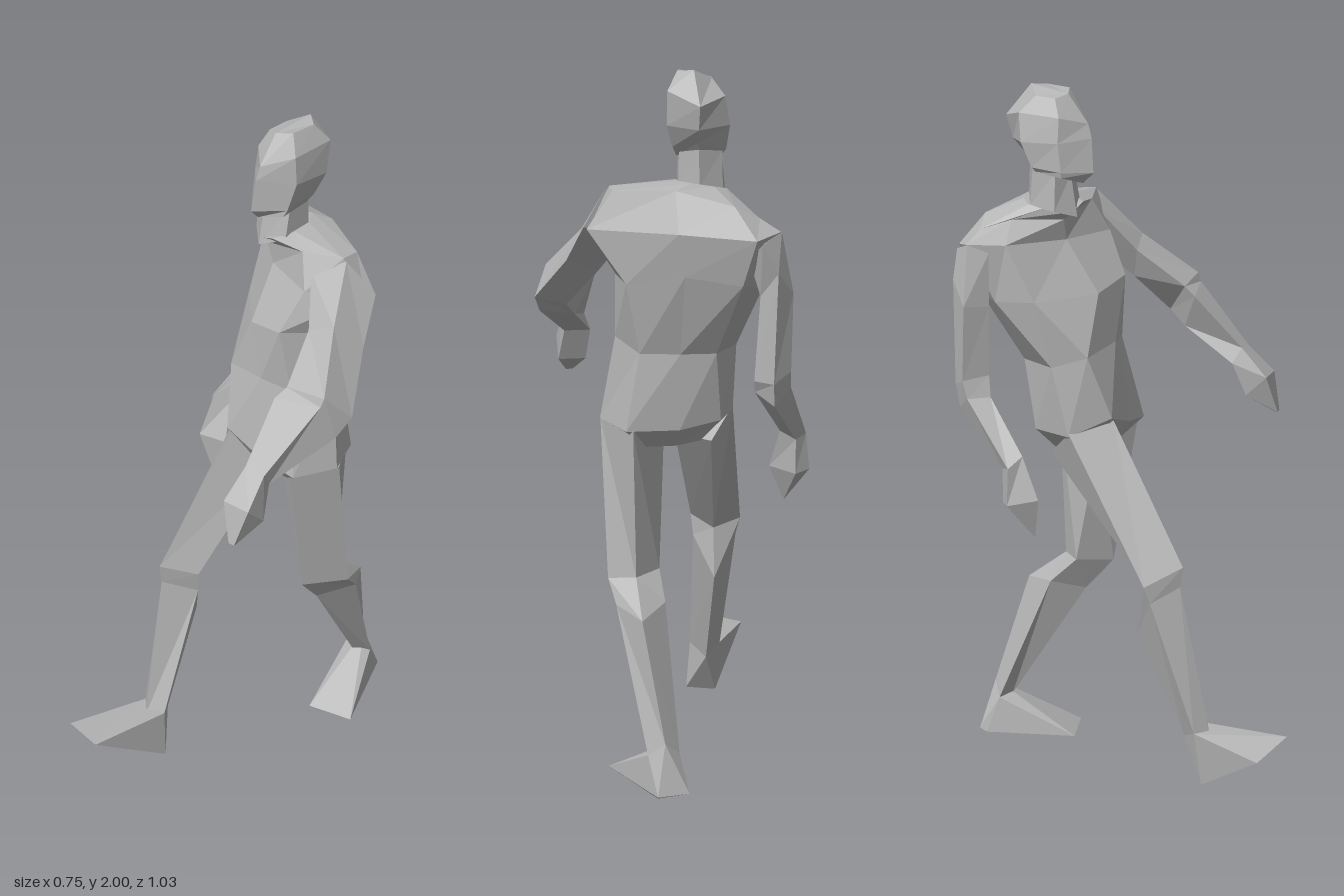
import * as THREE from 'three';
import { ConvexGeometry } from 'three/addons/geometries/ConvexGeometry.js';

// Skin a list of equally sized rings of [x, y, z] points; a one-point ring is a tip.
function loft(rings) {
  const n = rings[0].length;
  const loops = rings.map(r => Array.from({ length: n }, (_, i) => new THREE.Vector3(...r[i % r.length])));
  const tris = [];
  const add = (a, b, c) => {
    const area = b.clone().sub(a).cross(c.clone().sub(a)).length();
    if (area > 1e-7) tris.push([a, b, c]);
  };
  for (let k = 0; k < loops.length - 1; k++) {
    const lo = loops[k], hi = loops[k + 1];
    for (let i = 0; i < n; i++) {
      const j = (i + 1) % n;
      add(lo[i], lo[j], hi[j]);
      add(lo[i], hi[j], hi[i]);
    }
  }
  // end caps
  const first = loops[0], last = loops[loops.length - 1];
  for (let i = 1; i < n - 1; i++) {
    add(first[0], first[i + 1], first[i]);
    add(last[0], last[i], last[i + 1]);
  }
  // turn the solid outward whichever way its rings run
  const centre = first[0];
  let volume = 0;
  for (const [a, b, c] of tris) {
    volume += a.clone().sub(centre).dot(b.clone().sub(centre).cross(c.clone().sub(centre)));
  }
  const points = tris.flatMap(([a, b, c]) => (volume < 0 ? [a, c, b] : [a, b, c]));
  const geometry = new THREE.BufferGeometry().setFromPoints(points);
  geometry.computeVertexNormals();
  return geometry;
}

function hull(points) {
  return new ConvexGeometry(points.map(p => new THREE.Vector3(...p)));
}

export function createModel() {
  const group = new THREE.Group();
  group.name = 'walkingFigure';
  const grey = new THREE.MeshStandardMaterial({ color: 0xb4b4b4 });
  grey.name = 'grey';
  const part = (name, geometry) => {
    const mesh = new THREE.Mesh(geometry, grey);
    mesh.name = name;
    group.add(mesh);
  };

  // Trunk rings: right front, front, left front, left side, left back, back, right back, right side
  const crotch = [
    [-0.07, 0.97, -0.08], [0.0, 0.94, -0.09], [0.08, 0.95, -0.08], [0.12, 0.95, -0.14],
    [0.09, 0.94, -0.22], [0.0, 0.94, -0.22], [-0.07, 0.95, -0.21], [-0.11, 0.96, -0.14]];
  const hips = [
    [-0.115, 1.07, -0.03], [0.01, 1.03, -0.02], [0.14, 1.01, -0.02], [0.205, 1.01, -0.14],
    [0.15, 1.0, -0.275], [0.0, 1.0, -0.28], [-0.12, 1.02, -0.26], [-0.175, 1.02, -0.14]];
  const waist = [
    [-0.15, 1.25, -0.09], [-0.01, 1.27, -0.055], [0.09, 1.26, -0.07], [0.165, 1.25, -0.17],
    [0.11, 1.22, -0.27], [0.0, 1.22, -0.295], [-0.1, 1.22, -0.3], [-0.175, 1.22, -0.19]];
  const chest = [
    [-0.2, 1.41, -0.23], [-0.07, 1.42, -0.085], [0.06, 1.45, -0.05], [0.165, 1.43, -0.18],
    [0.15, 1.42, -0.29], [0.0, 1.45, -0.37], [-0.15, 1.43, -0.42], [-0.22, 1.41, -0.34]];
  const shoulders = [
    [-0.21, 1.57, -0.31], [-0.07, 1.57, -0.18], [0.1, 1.57, -0.11], [0.24, 1.57, -0.2],
    [0.25, 1.565, -0.235], [0.02, 1.57, -0.385], [-0.18, 1.56, -0.462], [-0.255, 1.575, -0.41]];
  const shoulderTop = [
    [-0.16, 1.635, -0.31], [-0.09, 1.63, -0.18], [0.06, 1.665, -0.15], [0.18, 1.675, -0.18],
    [0.18, 1.67, -0.24], [0.02, 1.68, -0.33], [-0.13, 1.645, -0.4], [-0.2, 1.61, -0.39]];
  const neckBase = [
    [-0.13, 1.665, -0.23], [-0.1, 1.655, -0.15], [-0.04, 1.675, -0.14], [0.0, 1.69, -0.19],
    [0.0, 1.695, -0.25], [-0.03, 1.695, -0.3], [-0.09, 1.685, -0.3], [-0.13, 1.675, -0.27]];
  part('pelvis', loft([crotch, hips]));
  part('torso', loft([hips, waist, chest, shoulders]));
  part('shoulders', loft([shoulders, shoulderTop, neckBase]));

  // Neck and head rings: front, left front, left back, back, right back, right front
  part('neck', loft([
    [[-0.09, 1.64, -0.14], [-0.01, 1.67, -0.16], [0.0, 1.68, -0.25], [-0.05, 1.68, -0.3], [-0.12, 1.67, -0.27], [-0.14, 1.66, -0.19]],
    [[-0.085, 1.76, -0.16], [-0.01, 1.77, -0.18], [-0.002, 1.78, -0.25], [-0.05, 1.79, -0.295], [-0.12, 1.78, -0.26], [-0.13, 1.77, -0.19]],
  ]));
  part('head', loft([
    [[-0.08, 1.735, -0.125], [-0.01, 1.75, -0.15], [0.0, 1.765, -0.24], [-0.05, 1.785, -0.295], [-0.12, 1.765, -0.25], [-0.135, 1.755, -0.17]],
    [[-0.08, 1.765, -0.095], [0.0, 1.77, -0.155], [0.015, 1.79, -0.255], [-0.045, 1.805, -0.31], [-0.13, 1.78, -0.26], [-0.138, 1.77, -0.17]],
    [[-0.07, 1.86, -0.103], [0.02, 1.85, -0.17], [0.036, 1.85, -0.28], [-0.04, 1.845, -0.35], [-0.135, 1.85, -0.29], [-0.136, 1.85, -0.18]],
    [[-0.065, 1.9, -0.115], [0.015, 1.93, -0.17], [0.037, 1.945, -0.295], [-0.04, 1.91, -0.37], [-0.12, 1.93, -0.3], [-0.125, 1.92, -0.18]],
    [[-0.06, 1.98, -0.175], [-0.01, 1.99, -0.19], [0.005, 1.995, -0.26], [-0.035, 2.0, -0.295], [-0.09, 1.975, -0.26], [-0.1, 1.97, -0.2]],
  ]));

  // Left arm, swung forward: upper inner, upper outer, lower outer, lower inner
  const leftElbow = [[0.185, 1.37, 0.12], [0.325, 1.385, 0.095], [0.352, 1.28, 0.06], [0.25, 1.265, 0.07]];
  const leftWrist = [[0.2, 1.225, 0.26], [0.265, 1.22, 0.26], [0.262, 1.18, 0.235], [0.185, 1.18, 0.235]];
  part('leftUpperArm', loft([
    [[0.1, 1.62, -0.14], [0.19, 1.668, -0.18], [0.258, 1.57, -0.228], [0.14, 1.52, -0.17]],
    [[0.165, 1.5, -0.05], [0.245, 1.535, -0.06], [0.295, 1.46, -0.13], [0.2, 1.415, -0.07]],
    [[0.2, 1.395, 0.085], [0.33, 1.41, 0.085], [0.37, 1.33, 0.012], [0.28, 1.305, 0.015]],
    leftElbow,
  ]));
  part('leftForearm', loft([leftElbow, leftWrist]));
  part('leftHand', loft([
    leftWrist,
    [[0.187, 1.145, 0.338], [0.274, 1.145, 0.338], [0.276, 1.085, 0.275], [0.195, 1.085, 0.275]],
    [[0.225, 1.035, 0.363], [0.245, 1.035, 0.363], [0.245, 1.035, 0.355], [0.225, 1.035, 0.355]],
  ]));

  // Right arm, swung back: front, outer, back, inner
  const rightElbow = [[-0.25, 1.14, -0.345], [-0.29, 1.14, -0.4], [-0.235, 1.1, -0.445], [-0.19, 1.13, -0.39]];
  const rightWrist = [[-0.33, 1.0, -0.22], [-0.365, 0.97, -0.25], [-0.33, 0.96, -0.28], [-0.29, 0.98, -0.25]];
  part('rightUpperArm', loft([
    [[-0.235, 1.55, -0.35], [-0.258, 1.575, -0.405], [-0.195, 1.55, -0.462], [-0.17, 1.5, -0.4]],
    [[-0.24, 1.4, -0.35], [-0.292, 1.405, -0.405], [-0.24, 1.47, -0.457], [-0.2, 1.4, -0.41]],
    [[-0.235, 1.2, -0.355], [-0.286, 1.19, -0.415], [-0.23, 1.165, -0.46], [-0.185, 1.165, -0.41]],
    rightElbow,
  ]));
  part('rightForearm', loft([rightElbow, rightWrist]));
  part('rightHand', loft([
    rightWrist,
    [[-0.345, 0.88, -0.168], [-0.376, 0.865, -0.25], [-0.33, 0.86, -0.28], [-0.27, 0.865, -0.2]],
    [[-0.315, 0.76, -0.19]],
  ]));

  // Legs: front, outer, back, inner
  const rightKnee = [[-0.18, 0.61, 0.197], [-0.235, 0.57, 0.125], [-0.16, 0.45, 0.065], [-0.105, 0.57, 0.12]];
  const rightAnkle = [[-0.175, 0.16, 0.29], [-0.21, 0.18, 0.25], [-0.16, 0.15, 0.205], [-0.12, 0.18, 0.265]];
  part('rightThigh', loft([
    [[-0.1, 1.06, -0.03], [-0.175, 1.03, -0.14], [-0.1, 0.95, -0.22], [-0.015, 0.945, -0.1]],
    [[-0.18, 0.67, 0.205], [-0.245, 0.62, 0.11], [-0.16, 0.6, 0.085], [-0.098, 0.635, 0.125]],
    rightKnee,
  ]));
  part('rightShin', loft([rightKnee, rightAnkle]));
  part('rightFoot', hull([...rightAnkle,
    [-0.2, 0.02, 0.27], [-0.11, 0.03, 0.275], [-0.318, 0.165, 0.47], [-0.17, 0.192, 0.516]]));

  const leftKnee = [[0.1, 0.47, -0.19], [0.18, 0.5, -0.28], [0.12, 0.48, -0.38], [0.04, 0.5, -0.28]];
  const leftAnkle = [[0.07, 0.11, -0.42], [0.115, 0.11, -0.45], [0.07, 0.15, -0.475], [0.025, 0.11, -0.445]];
  part('leftThigh', loft([
    [[0.12, 1.02, -0.03], [0.205, 1.01, -0.15], [0.13, 1.0, -0.28], [0.02, 0.945, -0.12]],
    [[0.11, 0.565, -0.105], [0.195, 0.56, -0.22], [0.12, 0.57, -0.26], [0.045, 0.575, -0.2]],
    leftKnee,
  ]));
  part('leftShin', loft([leftKnee, leftAnkle]));
  part('leftFoot', hull([...leftAnkle,
    [0.006, 0.01, -0.503], [0.097, 0.01, -0.518], [0.2, 0, -0.245], [0.06, 0, -0.215], [0.005, 0, -0.48], [0.095, 0, -0.5]]));

  return group;
}
